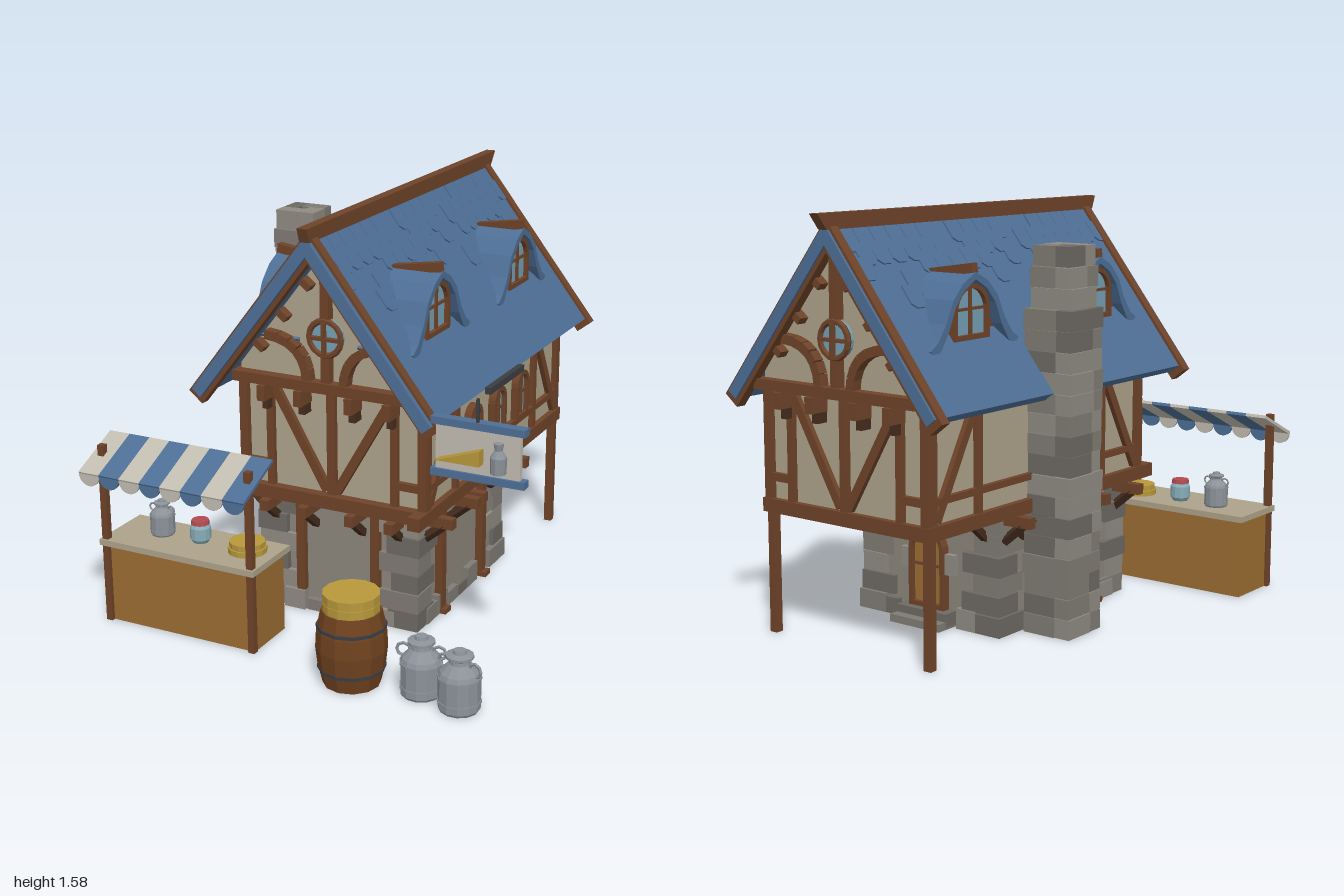
import * as THREE from 'three';
import { mergeGeometries } from 'three/addons/utils/BufferGeometryUtils.js';

const mat = (color, side = THREE.FrontSide) => new THREE.MeshStandardMaterial({ color, flatShading: true, side });
const M = {
  wood: mat(0x6e4329), dark: mat(0x452c1e), roof: mat(0x4d6e95), cream: mat(0xada38a), plaster: mat(0x8b857b),
  glass: mat(0x74a0b4), counter: mat(0x9a6c32), yellow: mat(0xb7983a), metal: mat(0x8b9299), barrel: mat(0x70421f),
  iron: mat(0x3b3d42), pale: mat(0xc2bcb0), red: mat(0xb04a4e), jar: mat(0x87adb8),
};
const stoneMats = [mat(0x7f7a73), mat(0x6d6963), mat(0x8f8a82)];
let seed = 7;
const rnd = () => (seed = (seed * 16807) % 2147483647) / 2147483647;
const V2 = (a) => a.map(([x, y]) => new THREE.Vector2(x, y));

function add(parent, name, geo, m, x = 0, y = 0, z = 0) {
  const mesh = new THREE.Mesh(geo, m);
  mesh.name = name;
  mesh.position.set(x, y, z);
  parent.add(mesh);
  return mesh;
}
function group(parent, name, x = 0, y = 0, z = 0, ry = 0) {
  const g = new THREE.Group();
  g.name = name;
  g.position.set(x, y, z);
  g.rotation.y = ry;
  parent.add(g);
  return g;
}
// box given by its limits on each axis
const block = (p, name, m, x0, x1, y0, y1, z0, z1) =>
  add(p, name, new THREE.BoxGeometry(x1 - x0, y1 - y0, z1 - z0), m, (x0 + x1) / 2, (y0 + y1) / 2, (z0 + z1) / 2);
// square timber between two points
function beam(p, name, a, b, w, d, m = M.wood) {
  const A = new THREE.Vector3(...a), B = new THREE.Vector3(...b);
  const mesh = add(p, name, new THREE.BoxGeometry(w, d, A.distanceTo(B)), m);
  mesh.position.copy(A).add(B).multiplyScalar(0.5);
  mesh.quaternion.setFromUnitVectors(new THREE.Vector3(0, 0, 1), B.sub(A).normalize());
  return mesh;
}
// timber lying in a wall face
function plank(p, x0, y0, x1, y1, w = 0.035, z = 0, d = 0.04) {
  const m = add(p, 'timber', new THREE.BoxGeometry(Math.hypot(x1 - x0, y1 - y0), w, d), M.wood, (x0 + x1) / 2, (y0 + y1) / 2, z);
  m.rotation.z = Math.atan2(y1 - y0, x1 - x0);
}
const extrude = (shape, z0, z1) =>
  new THREE.ExtrudeGeometry(shape, { depth: z1 - z0, bevelEnabled: false, curveSegments: 6 }).translate(0, 0, z0);
const poly = (pts) => new THREE.Shape(V2(pts));
const stone = (p, x0, x1, y0, y1, z0, z1) => block(p, 'stone', stoneMats[Math.floor(rnd() * 3)], x0, x1, y0, y1, z0, z1);

function archShape(w, h) {
  const s = new THREE.Shape();
  s.moveTo(-w / 2, 0); s.lineTo(w / 2, 0); s.lineTo(w / 2, h - w / 2);
  s.absarc(0, h - w / 2, w / 2, 0, Math.PI, false);
  return s;
}
function archOpening(p, name, w, h, x, y, z, fill = M.glass) {
  const g = group(p, name, x, y, z), f = 0.018;
  const frame = archShape(w, h);
  frame.holes.push(new THREE.Path(archShape(w - 2 * f, h - 2 * f).getPoints(6).map((v) => v.setY(v.y + f))));
  add(g, 'frame', extrude(frame, -0.01, 0.025), M.wood);
  add(g, 'pane', extrude(archShape(w - f, h - f), -0.01, 0.008), fill, 0, f / 2);
  block(g, 'mullion', M.wood, -0.006, 0.006, 0, h - 0.01, 0, 0.018);
  block(g, 'crossBar', M.wood, -w / 2, w / 2, h * 0.52, h * 0.52 + 0.01, 0, 0.018);
}
// roof section: two sloping slabs meeting at the ridge
const S = 1.28, SA = Math.atan(S);
function chevron(w, top, t) {
  const i = t * Math.sin(SA), v = t / Math.cos(SA), e = top - S * w;
  return poly([[0, top], [-w, e], [-w + i, e - t * Math.cos(SA)], [0, top - v], [w - i, e - t * Math.cos(SA)], [w, e]]);
}

// timber pattern of a gable end, drawn in its own plane
function gableFace(p, z, ry) {
  const g = group(p, 'gableFace', 0, 0, z, ry);
  for (const s of [-1, 1]) {
    plank(g, s * 0.375, 0.5, s * 0.375, 0.96);
    plank(g, s * 0.26, 0.5, s * 0.26, 0.93, 0.03);
    plank(g, s * 0.02, 0.53, s * 0.245, 0.92, 0.035);
    plank(g, s * 0.26, 0.6, s * 0.37, 0.6, 0.03);
    const curve = new THREE.QuadraticBezierCurve(...V2([[s * 0.25, 1.125], [s * 0.08, 1.12], [s * 0.075, 0.96]])).getPoints(6);
    for (let i = 0; i < 6; i++) plank(g, curve[i].x, curve[i].y, curve[i + 1].x, curve[i + 1].y, 0.035, 0.045);
    for (const x of [0.09, 0.19, 0.29]) {
      const y = 1.465 - S * x;
      plank(g, s * x, y, s * (x - 0.035), y - 0.028, 0.028, 0.05);
    }
    for (const x of [0.105, 0.26]) {
      block(g, 'bracket', M.wood, s * x - 0.016, s * x + 0.016, 0.87, 0.93, 0, 0.085);
      block(g, 'bracketFoot', M.dark, s * x - 0.013, s * x + 0.013, 0.83, 0.875, 0, 0.05);
    }
  }
  plank(g, -0.39, 0.95, 0.39, 0.95, 0.04, 0.035, 0.07);
  plank(g, 0, 0.5, 0, 1.06); plank(g, 0, 0.96, 0, 1.07, 0.035, 0.04); plank(g, 0, 1.21, 0, 1.48, 0.035, 0.04);
  add(g, 'roundGlass', new THREE.CylinderGeometry(0.066, 0.066, 0.03, 16).rotateX(Math.PI / 2), M.glass, 0, 1.14, 0.04);
  add(g, 'roundFrame', new THREE.TorusGeometry(0.066, 0.012, 6, 16), M.wood, 0, 1.14, 0.055);
  plank(g, -0.06, 1.14, 0.06, 1.14, 0.012, 0.055); plank(g, 0, 1.08, 0, 1.2, 0.012, 0.055);
}

function dormer(p, z, ry) {
  const g = group(p, 'dormer', 0, 0, z, ry);
  const half = [[0.25, 1.115], [0.21, 1.14], [0.165, 1.2], [0.125, 1.28], [0.07, 1.335]];
  const line = [...half, [0, 1.37], ...half.map(([x, y]) => [-x, y]).reverse()];
  const inner = line.map(([x, y]) => [x * 0.9, y - 0.026]);
  add(g, 'dormerRoof', extrude(poly([...line, ...inner.slice().reverse()]), 0.12, 0.345), M.roof);
  add(g, 'dormerWall', extrude(poly(inner), 0.12, 0.3), M.wood);
  archOpening(g, 'dormerWindow', 0.2, 0.2, 0, 1.13, 0.305);
  beam(g, 'dormerRidge', [0, 1.355, 0.14], [0, 1.385, 0.34], 0.032, 0.035);
}

function sideFace(p, x, ry, windows) {
  const g = group(p, 'sideFace', x, 0, -0.2, ry);
  for (const s of [-1, 1]) {
    plank(g, s * 0.64, 0.5, s * 0.64, 0.98);
    plank(g, s * 0.62, 0.53, s * 0.4, 0.92);
    plank(g, s * 0.385, 0.5, s * 0.385, 0.98, 0.03);
  }
  plank(g, -0.64, 0.6, 0.64, 0.6, 0.025);
  if (windows) for (const u of [-0.235, 0, 0.235]) archOpening(g, 'sideWindow', 0.12, 0.2, u, 0.61, 0.005);
}

// low-poly milk can with handles
function milkCan(p, x, y, z, k, ry = 0) {
  const g = group(p, 'milkCan', x, y, z, ry);
  g.scale.setScalar(k);
  const prof = [[0, 0], [0.07, 0], [0.076, 0.01], [0.076, 0.13], [0.07, 0.145], [0.038, 0.178], [0.036, 0.19], [0.05, 0.198], [0.05, 0.208], [0.025, 0.214], [0.022, 0.226], [0, 0.226]];
  add(g, 'canBody', new THREE.LatheGeometry(V2(prof), 12), M.metal);
  for (const y of [0.035, 0.125]) add(g, 'canBand', new THREE.CylinderGeometry(0.079, 0.079, 0.008, 12), M.metal, 0, y);
  for (const s of [-1, 1]) add(g, 'canHandle', new THREE.TorusGeometry(0.025, 0.006, 5, 8), M.metal, s * 0.064, 0.165);
}

function house(root) {
  const h = group(root, 'house', -0.02);
  // ground floor: plaster core, corner stones, footing stones
  block(h, 'groundFloor', M.plaster, -0.32, 0.32, 0, 0.47, -0.385, 0.4);
  for (const sx of [-1, 1]) for (const [zc, sz] of [[0.4, 1], [-0.385, -1]])
    for (let k = 0; k < 6; k++) {
      const long = k % 2, lx = (long ? 0.13 : 0.08) + rnd() * 0.03, lz = (long ? 0.07 : 0.12) + rnd() * 0.03, o = 0.012 + rnd() * 0.02;
      const xs = [sx * (0.32 + o), sx * (0.32 - lx)].sort((a, b) => a - b);
      const zs = [zc + sz * o, zc - sz * lz].sort((a, b) => a - b);
      stone(h, ...xs, k * 0.077, k * 0.077 + 0.074, ...zs);
    }
  for (let i = 0; i < 5; i++) {
    const a = -0.23 + i * 0.095, t = 0.045 + rnd() * 0.04;
    stone(h, a, a + 0.09, 0, t, 0.37, 0.42 + rnd() * 0.015);
    if (i < 1 || i > 3) stone(h, a, a + 0.09, 0, t, -0.41, -0.36);
    for (const s of [-1, 1]) stone(h, s * 0.325 - 0.02, s * 0.325 + 0.02, 0, t, a + 0.1, a + 0.19);
  }
  for (const s of [-1, 1]) {
    for (const z of [0.205, -0.18]) {
      block(h, 'groundPost', M.wood, s * 0.33 - 0.02, s * 0.33 + 0.02, 0, 0.47, z - 0.02, z + 0.02);
      block(h, 'postFoot', M.wood, s * 0.34 - 0.03, s * 0.34 + 0.03, 0, 0.02, z - 0.025, z + 0.025);
    }
    block(h, 'frontPost', M.wood, s * 0.16 - 0.018, s * 0.16 + 0.018, 0, 0.47, 0.39, 0.425);
    block(h, 'rearPost', M.wood, s * 0.375 - 0.016, s * 0.375 + 0.016, 0, 0.48, -0.86, -0.828);
  }
  // back door and steps
  archOpening(h, 'backDoor', 0.17, 0.31, 0, 0.06, -0.395, M.counter);
  h.children.at(-1).rotation.y = Math.PI;
  for (let i = 0; i < 3; i++) {
    const a = Math.PI * i / 2;
    stone(h, Math.cos(a) * 0.1 - 0.03, Math.cos(a) * 0.1 + 0.03, 0.2 + Math.sin(a) * 0.16, 0.28 + Math.sin(a) * 0.16, -0.41, -0.37);
  }
  for (const i of [0, 1]) block(h, 'step', stoneMats[i], -0.12, 0.12, 0, 0.03 + i * 0.03, -0.49 + i * 0.04, -0.38);
  // joists and braces under the upper floor
  for (const z of [0.36, 0.13, 0.065, -0.26, -0.36]) {
    block(h, 'crossJoist', M.wood, -0.46, 0.46, 0.425, 0.466, z - 0.018, z + 0.018);
    for (const s of [-1, 1]) beam(h, 'brace', [s * 0.33, 0.36, z], [s * 0.42, 0.435, z], 0.028, 0.028, M.dark);
  }
  for (const x of [-0.265, -0.1, 0.1, 0.265]) {
    block(h, 'longJoist', M.wood, x - 0.018, x + 0.018, 0.425, 0.467, -0.49, 0.52);
    beam(h, 'brace', [x, 0.36, 0.4], [x, 0.435, 0.49], 0.028, 0.028, M.dark);
    beam(h, 'brace', [x, 0.36, -0.38], [x, 0.435, -0.47], 0.028, 0.028, M.dark);
  }
  // upper floor, attic and their timber
  block(h, 'upperFloor', M.cream, -0.375, 0.375, 0.48, 0.99, -0.85, 0.445);
  add(h, 'attic', extrude(poly([[-0.375, 0.94], [0.375, 0.94], [0.375, 1.0], [0, 1.48], [-0.375, 1.0]]), -0.875, 0.47), M.cream);
  for (const s of [-1, 1]) block(h, 'sillBeam', M.wood, s * 0.375 - 0.025, s * 0.375 + 0.025, 0.465, 0.517, -0.87, 0.535);
  for (const z of [0.455, -0.845]) block(h, 'sillBeam', M.wood, -0.4, 0.4, 0.465, 0.517, z - 0.03, z + 0.03);
  gableFace(h, 0.445, 0);
  gableFace(h, -0.85, Math.PI);
  sideFace(h, 0.375, Math.PI / 2, true);
  sideFace(h, -0.375, -Math.PI / 2, false);
  // roof, barge boards, ridge
  add(h, 'roof', extrude(chevron(0.49, 1.545, 0.045), -0.95, 0.64), M.roof);
  for (const z of [-0.94, 0.58]) add(h, 'bargeBoard', extrude(chevron(0.515, 1.562, 0.072), z, z + 0.04), M.wood);
  add(h, 'ridgeBeam', extrude(poly([[0.64, 1.525], [0.66, 1.578], [-1, 1.582], [-0.955, 1.525]]), -0.02, 0.02).rotateY(-Math.PI / 2), M.wood);
  // raised shingles, sparser further down the slope
  const tiles = [], tile = extrude(poly([[-0.04, 0.05], [-0.04, -0.025], [-0.02, -0.045], [0.02, -0.045], [0.04, -0.025], [0.04, 0.05]]), -0.004, 0.006);
  [0.08, 0.14, 0.2, 0.27, 0.33].forEach((d, r) => {
    for (let u = -0.72; u < 0.7; u += 0.083) if (rnd() > 0.12 + r * 0.17) tiles.push(tile.clone().translate(u + (r % 2) * 0.04, -d, 0));
  });
  const c = Math.cos(SA), s = Math.sin(SA);
  const slope = new THREE.Matrix4().makeBasis(new THREE.Vector3(0, 0, -1), new THREE.Vector3(-c, s, 0), new THREE.Vector3(s, c, 0)).setPosition(0, 1.545, 0);
  const shingles = mergeGeometries(tiles).applyMatrix4(slope);
  for (const ry of [0, Math.PI]) {
    add(h, 'shingles', shingles, M.roof, 0, 0, -0.155).rotation.y = ry;
    for (const z of [0.23, -0.545]) dormer(h, z, ry + Math.PI / 2);
  }
}

// chimney: courses of four stones laid around a flue
function chimney(root) {
  const g = group(root, 'chimney', -0.478, 0, -0.172);
  for (let k = 0; k < 19; k++) {
    const y = k * 0.0763, w = (k < 16 ? 0.2 : 0.165) + (rnd() - 0.5) * 0.012, t = 0.062;
    const course = group(g, 'course', 0, y, 0, k % 2 ? Math.PI / 2 : 0);
    if (k % 2) course.scale.x = 1.02;
    for (let i = 0; i < 4; i++) {
      const o = rnd() * 0.008, q = group(course, 'courseSide', 0, 0, 0, i * Math.PI / 2);
      stone(q, -w / 2, w / 2 - t, 0, 0.0745, w / 2 - t, w / 2 + o);
    }
  }
}

function stall(root) {
  const g = group(root, 'marketStall');
  block(g, 'counterBody', M.counter, -0.79, -0.15, 0, 0.315, 0.61, 0.83);
  block(g, 'counterTop', M.pale, -0.81, -0.135, 0.313, 0.337, 0.585, 0.855).material = M.cream;
  for (const x of [-0.79, -0.157]) block(g, 'stallPost', M.wood, x - 0.013, x + 0.013, 0, 0.715, 0.82, 0.846);
  // striped awning with a scalloped edge
  const w = 0.71 / 8;
  const lobe = new THREE.Shape().absarc(0, 0, w / 2, Math.PI, Math.PI * 2, false);
  for (let i = 0; i < 8; i++) {
    const x = -0.83 + w * (i + 0.5), m = i % 2 ? M.roof : M.pale;
    beam(g, 'awningStripe', [x, 0.724, 0.72], [x, 0.628, 0.93], w, 0.012, m);
    add(g, 'awningScallop', extrude(lobe, -0.005, 0.005), m, x, 0.627, 0.925);
  }
  // goods
  milkCan(g, -0.625, 0.337, 0.7, 0.62);
  const jar = [[0, 0], [0.03, 0], [0.04, 0.015], [0.04, 0.06], [0.03, 0.075], [0, 0.075]];
  add(g, 'jar', new THREE.LatheGeometry(V2(jar), 12), M.jar, -0.455, 0.337, 0.7);
  add(g, 'jarLid', new THREE.CylinderGeometry(0.033, 0.036, 0.016, 12), M.red, -0.455, 0.418, 0.7);
  for (const i of [0, 1]) add(g, 'cheeseWheel', new THREE.CylinderGeometry(0.074 - i * 0.006, 0.074 - i * 0.006, 0.021, 14), M.yellow, -0.25, 0.348 + i * 0.022, 0.7);
}

function barrel(root) {
  const g = group(root, 'barrel', 0.273, 0, 0.865);
  const prof = [[0, 0], [0.105, 0], [0.122, 0.07], [0.13, 0.14], [0.126, 0.21], [0.11, 0.285], [0, 0.285]];
  add(g, 'staves', new THREE.LatheGeometry(V2(prof), 12), M.barrel);
  for (const [y, r] of [[0.065, 0.124], [0.225, 0.127]]) add(g, 'hoop', new THREE.CylinderGeometry(r, r, 0.012, 12), M.iron, 0, y);
  for (const i of [0, 1]) add(g, 'cheeseWheel', new THREE.CylinderGeometry(0.104, 0.104, 0.032, 14), M.yellow, 0, 0.3 + i * 0.034);
}

function sign(root) {
  const g = group(root, 'hangingSign');
  block(g, 'signPanel', M.pale, 0.487, 0.805, 0.76, 0.95, 0.612, 0.632);
  for (const y of [0.747, 0.937]) block(g, 'signRail', M.roof, 0.47, 0.825, y, y + 0.027, 0.602, 0.642);
  add(g, 'cheeseWedge', extrude(poly([[0.5, 0.815], [0.668, 0.815], [0.668, 0.872]]), 0.63, 0.67), M.yellow);
  const bottle = [[0, 0], [0.028, 0], [0.03, 0.06], [0.014, 0.085], [0.018, 0.11], [0, 0.11]];
  add(g, 'signBottle', new THREE.LatheGeometry(V2(bottle), 10), M.metal, 0.73, 0.795, 0.645);
  block(g, 'signRod', M.iron, 0.64, 0.65, 0.96, 1.05, 0.627, 0.637);
  block(g, 'signBar', M.iron, 0.634, 0.656, 1.04, 1.064, 0.245, 0.55);
}

export function createModel() {
  const root = new THREE.Group();
  root.name = 'timberShop';
  house(root);
  chimney(root);
  stall(root);
  barrel(root);
  sign(root);
  milkCan(root, 0.535, 0, 0.84, 1, 0.2);
  milkCan(root, 0.7, 0, 0.88, 1, -0.2);
  return root;
}
